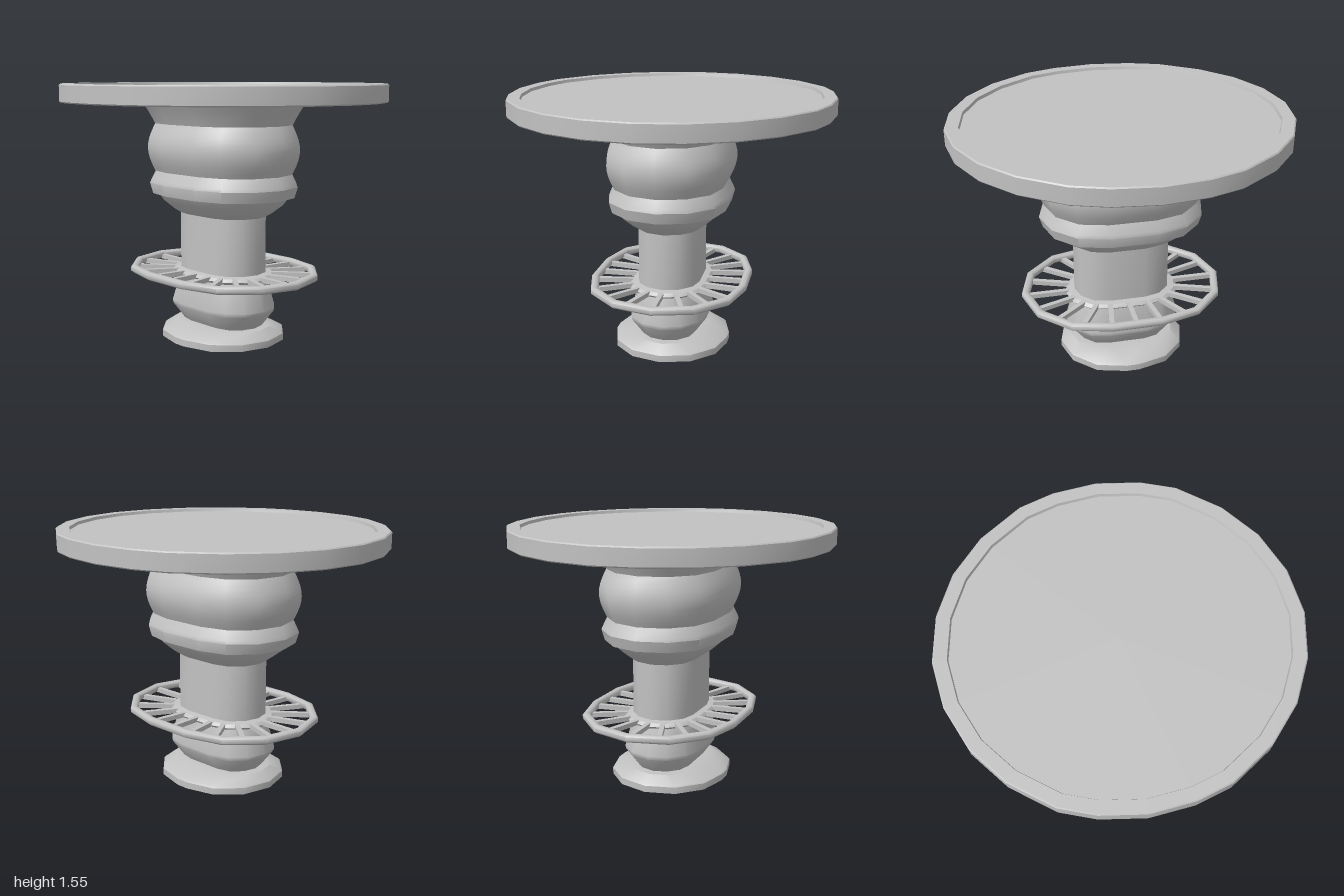
import * as THREE from 'three';
import { toCreasedNormals } from 'three/addons/utils/BufferGeometryUtils.js';

const grey = new THREE.MeshStandardMaterial({ color: 0xc2c2c2, side: THREE.DoubleSide });
grey.name = 'hull grey';

// Stadium outline: two half circles of radius r, pulled apart along z by s
function stadium([r, s]) {
  const points = [];
  for (let end = 0; end < 2; end++) {
    for (let i = 0; i <= 6; i++) {
      const a = Math.PI * (end + i / 6);
      points.push([r * Math.cos(a), (end ? s : -s) - r * Math.sin(a)]);
    }
  }
  return points;
}

// 24-sided disc outline, from one quadrant mirrored around
const quadrant = [[0.96, 0], [0.93, 0.25], [0.865, 0.445], [0.7, 0.68], [0.5, 0.85], [0.26, 0.96], [0, 1]];
function discOutline([k]) {
  const back = [...quadrant, ...quadrant.slice(0, 6).reverse().map(([x, z]) => [-x, z])];
  const half = back.map(([x, z]) => [x * k, -z * k]);
  return [...half, ...half.slice(1, -1).map(([x, z]) => [-x, -z])];
}

// Skin a stack of cross-sections, each [size, stretch, height]
function loft(name, outline, profile, crease = 0.6) {
  const positions = [], index = [];
  let n = 0;
  for (const section of profile) {
    const points = outline(section);
    n = points.length;
    for (const [x, z] of points) positions.push(x, section[2], z);
  }
  for (let i = 0; i < profile.length - 1; i++) {
    for (let j = 0; j < n; j++) {
      const a = i * n + j, b = i * n + (j + 1) % n;
      index.push(a, b, b + n, a, b + n, a + n);
    }
  }
  const geometry = new THREE.BufferGeometry();
  geometry.setAttribute('position', new THREE.Float32BufferAttribute(positions, 3));
  geometry.setIndex(index);
  const mesh = new THREE.Mesh(toCreasedNormals(geometry, crease), grey);
  mesh.name = name;
  return mesh;
}

export function createModel() {
  const model = new THREE.Group();
  model.name = 'station';

  // Flared hollow foot
  model.add(loft('foot', stadium, [
    [0.355, 0.04, 0], [0.355, 0.04, 0.04], [0.34, 0.045, 0.05],
    [0.21, 0.12, 0.09], [0.165, 0.115, 0.092],
  ]));

  // Lower hub, open underneath
  model.add(loft('lowerHub', stadium, [
    [0.165, 0.115, 0.092], [0.235, 0.12, 0.19], [0.238, 0.122, 0.21], [0.195, 0.11, 0.385],
  ]));

  // Straight shaft
  model.add(loft('shaft', stadium, [[0.19, 0.11, 0.38], [0.19, 0.11, 0.775]]));

  // Funnel under the collar
  model.add(loft('funnel', stadium, [
    [0.19, 0.11, 0.765], [0.22, 0.115, 0.785], [0.28, 0.13, 0.84], [0.31, 0.135, 0.885],
  ]));

  // Collar
  model.add(loft('collar', stadium, [
    [0.29, 0.13, 0.885], [0.345, 0.135, 0.885], [0.362, 0.138, 0.95],
    [0.355, 0.137, 0.97], [0.328, 0.135, 1.025],
  ]));

  // Bulging upper body
  const bulge = [];
  for (let i = 0; i <= 10; i++) {
    const t = i / 10;
    bulge.push([0.326 + 0.047 * Math.sin(Math.PI * t), 0.137, 1.02 + 0.295 * t]);
  }
  model.add(loft('upperBody', stadium, bulge));

  // Flare that carries the disc
  model.add(loft('neck', stadium, [
    [0.326, 0.137, 1.31], [0.34, 0.138, 1.34], [0.372, 0.142, 1.4], [0.402, 0.145, 1.448],
  ]));

  // Large disc with a raised rim
  model.add(loft('disc', discOutline, [
    [0, 0, 1.445], [0.993, 0, 1.445], [1, 0, 1.452], [1, 0, 1.546], [0.993, 0, 1.553],
    [0.92, 0, 1.553], [0.915, 0, 1.535], [0, 0, 1.535],
  ], 0.4));

  // Spoked outer ring
  const ring = new THREE.Group();
  ring.name = 'spokedRing';
  ring.add(loft('rim', stadium, [
    [0.445, 0.15, 0.392], [0.468, 0.15, 0.392], [0.48, 0.15, 0.403], [0.48, 0.15, 0.427],
    [0.468, 0.15, 0.438], [0.445, 0.15, 0.438], [0.433, 0.15, 0.427], [0.433, 0.15, 0.403],
    [0.445, 0.15, 0.392],
  ], 0.9));
  ring.add(loft('flange', stadium, [
    [0.185, 0.11, 0.38], [0.225, 0.115, 0.385], [0.24, 0.118, 0.4], [0.225, 0.115, 0.418], [0.185, 0.11, 0.425],
  ]));

  function addSpoke(angle, innerShift, outerShift) {
    const dir = new THREE.Vector2(Math.cos(angle), Math.sin(angle));
    const from = new THREE.Vector2(0, innerShift).addScaledVector(dir, 0.19);
    const to = new THREE.Vector2(0, outerShift).addScaledVector(dir, 0.445);
    const spoke = new THREE.Mesh(new THREE.BoxGeometry(from.distanceTo(to), 0.028, 0.03), grey);
    spoke.position.set((from.x + to.x) / 2, 0.405, (from.y + to.y) / 2);
    spoke.rotation.y = -Math.atan2(to.y - from.y, to.x - from.x);
    spoke.name = 'spoke';
    ring.add(spoke);
  }
  for (const side of [1, -1]) {
    for (let i = 0; i <= 8; i++) addSpoke(side * Math.PI * i / 8, side * 0.11, side * 0.15);
    addSpoke(side > 0 ? 0 : Math.PI, 0, 0);
  }
  model.add(ring);
  return model;
}
